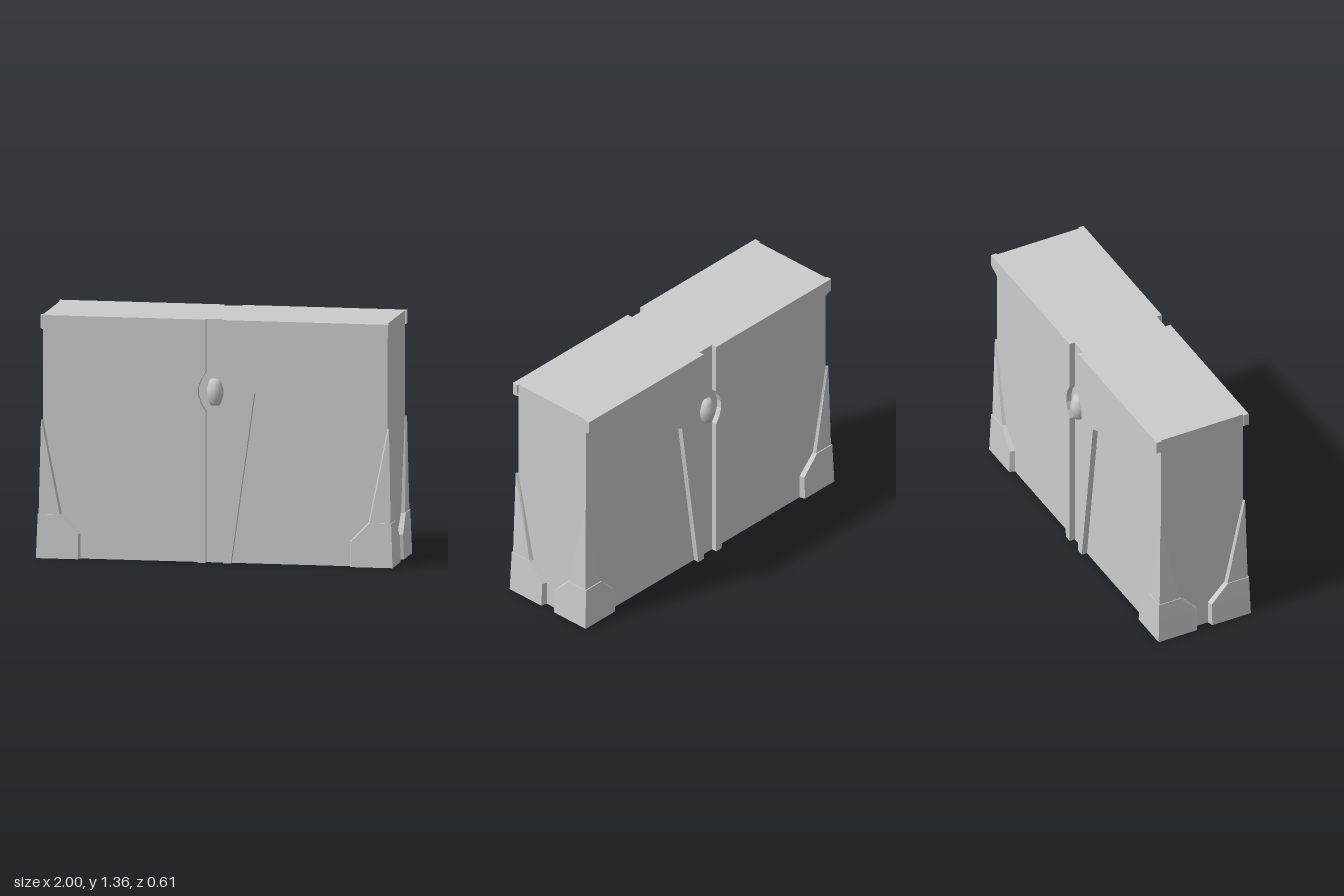
import * as THREE from 'three';

const material = new THREE.MeshStandardMaterial({ color: 0xcccccc, side: THREE.DoubleSide });
const X = 0.965, Z = 0.255, FRONT = 0.287, TOP = 1.355, TRIM = 0.975;

function mesh(name, geometry) {
  const m = new THREE.Mesh(geometry, material);
  m.name = name;
  return m;
}

// Flat polygon in the xy plane
function panel(points, z = 0) {
  const shape = new THREE.Shape(points.map(([x, y]) => new THREE.Vector2(x, y)));
  return new THREE.ShapeGeometry(shape).translate(0, 0, z);
}

// Flat-shaded strip surface joining rows of points
function loft(rows) {
  const pos = [];
  for (let i = 0; i < rows.length - 1; i++) {
    for (let j = 0; j < rows[i].length - 1; j++) {
      const a = rows[i][j], b = rows[i][j + 1], c = rows[i + 1][j + 1], d = rows[i + 1][j];
      pos.push(...a, ...b, ...c, ...a, ...c, ...d);
    }
  }
  const g = new THREE.BufferGeometry();
  g.setAttribute('position', new THREE.Float32BufferAttribute(pos, 3));
  g.computeVertexNormals();
  return g;
}

// Edge wall of a raised plate
function rim(path) {
  return loft([Z, FRONT].map(z => path.map(([x, y]) => [x, y, z])));
}

// Corner guard section wrapping the front and the side of the box
function guardRow([y, xo, zo, xb, zb]) {
  const bevel = 0.009;
  return [
    [xb, y, Z],
    [Math.min(xb + bevel, xo), y, zo],
    [xo, y, zo],
    [xo, y, Math.min(zb + bevel, zo)],
    [X, y, zb],
  ];
}

function createQuarter() {
  const q = new THREE.Group();
  q.name = 'quarter';

  // Raised plate: half of the Y-shaped trim, hollow behind
  const outer = [[0.093, 0], [0.225, 0.95], [TRIM, 1.283], [TRIM, TOP]];
  const groove = [[0.05, TOP], [0.05, 1.06], [0.075, 1.02], [0.09, 0.975],
    [0.09, 0.93], [0.075, 0.885], [0.05, 0.845], [0.05, 0]];
  q.add(mesh('trimPlate', panel([...outer, ...groove], FRONT)));
  q.add(mesh('trimOuterEdge', rim(outer)));
  q.add(mesh('trimGrooveEdge', rim(groove)));

  // Recessed surfaces around the trim
  q.add(mesh('grooveFloor', panel([[0, 0], ...groove.slice().reverse(), [0, TOP]], Z)));
  q.add(mesh('wallPanel', panel([[0.093, 0], [0.755, 0], [0.755, 0.14], [0.86, 0.245],
    [X, 0.77], [X, 1.279], [0.225, 0.95]], Z)));

  // Corner foot with a tapering fin above it
  const foot = [
    [0, 1, 0.287, 0.755, 0.038],
    [0.14, 0.995, 0.283, 0.755, 0.038],
    [0.245, 0.991, 0.28, 0.86, 0.14],
  ];
  const fin = [
    [0.245, 0.987, 0.274, 0.86, 0.14],
    [0.77, 0.976, 0.264, X, Z],
    [0.77, X, Z, X, Z],
  ];
  q.add(mesh('cornerFoot', loft([...foot, fin[0]].map(guardRow))));
  q.add(mesh('cornerFin', loft(fin.map(guardRow))));
  return q;
}

export function createModel() {
  const model = new THREE.Group();
  model.name = 'box';

  for (const sx of [1, -1]) {
    for (const sz of [1, -1]) {
      const q = createQuarter();
      q.scale.set(sx, 1, sz);
      model.add(q);
    }
  }

  // Side walls, cut out behind the corner guards
  const half = [[0.038, 0], [0.038, 0.14], [0.14, 0.245], [Z, 0.77], [Z, TOP]];
  const sideOutline = [...half, ...half.map(([u, y]) => [-u, y]).reverse()];
  for (const s of [1, -1]) {
    const wall = mesh('sideWall', panel(sideOutline));
    wall.rotation.y = s * Math.PI / 2;
    wall.position.x = s * X;
    model.add(wall);
  }

  // Top with notches at the grooves and overhanging trim corners
  const corner = [[X, 0], [X, Z], [TRIM, Z], [TRIM, FRONT], [0.05, FRONT], [0.05, Z]];
  const flip = (pts, sx, sy) => pts.map(([x, y]) => [x * sx, y * sy]);
  const topOutline = [
    ...corner, ...flip(corner, -1, 1).reverse(),
    ...flip(corner, -1, -1).slice(1), ...flip(corner, 1, -1).slice(1).reverse(),
  ];
  const top = mesh('top', panel(topOutline));
  top.rotation.x = -Math.PI / 2;
  top.position.y = TOP;
  model.add(top);

  // Oval studs set in the widened groove, front and back
  const profile = [[0, -0.073], [0.026, -0.073], [0.038, -0.045], [0.046, -0.015],
    [0.046, 0.015], [0.038, 0.045], [0.026, 0.073], [0, 0.073]];
  for (const s of [1, -1]) {
    const stud = mesh('stud', new THREE.LatheGeometry(
      profile.map(([r, y]) => new THREE.Vector2(r, y)), 16));
    stud.position.set(0, 0.95, s * 0.257);
    model.add(stud);
  }
  return model;
}
